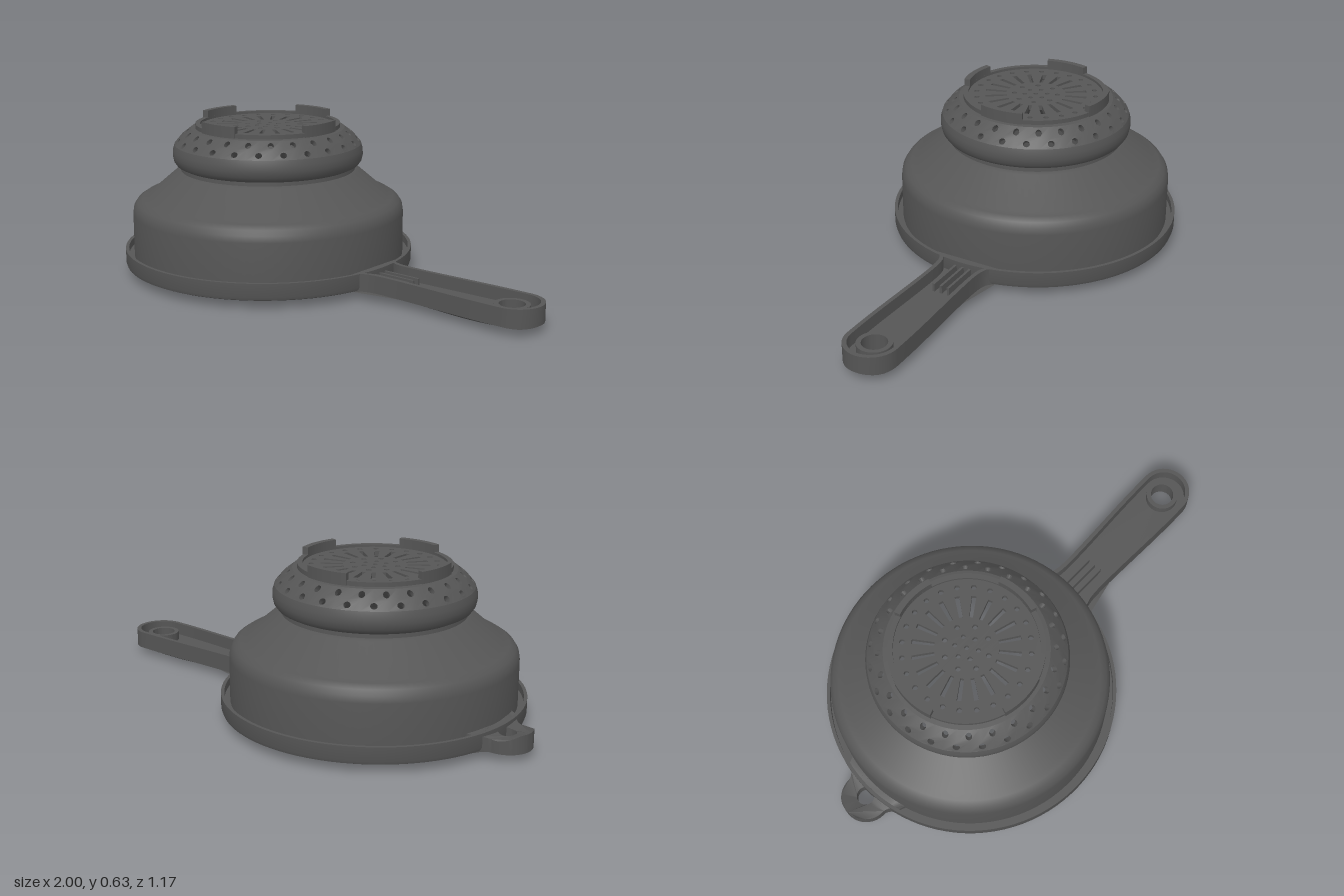
import * as THREE from 'three';
import { mergeGeometries, toCreasedNormals } from 'three/addons/utils/BufferGeometryUtils.js';

const CX = -0.3; // axis of the bowl
const TAU = Math.PI * 2;

export function createModel() {
  const group = new THREE.Group();
  const plastic = new THREE.MeshStandardMaterial({ color: 0x555555 });
  plastic.name = 'dark grey plastic';

  const add = (name, geometry, x = 0, y = 0) => {
    const mesh = new THREE.Mesh(toCreasedNormals(geometry, 0.6), plastic);
    mesh.name = name;
    mesh.position.set(x, y, 0);
    group.add(mesh);
    return mesh;
  };
  const lathe = (pts) =>
    new THREE.LatheGeometry([...pts, pts[0]].map(([r, y]) => new THREE.Vector2(r, y)), 96);
  const flatExtrude = (shape, depth) =>
    new THREE.ExtrudeGeometry(shape, { depth, bevelEnabled: false, curveSegments: 16 }).rotateX(-Math.PI / 2);

  // Bowl: grooved rim, wall, cone, neck and lower half of the bulge
  add('bowl', lathe([
    [0.535, 0.035], [0.57, 0.035], [0.581, 0.04], [0.585, 0.052], [0.585, 0.105], [0.572, 0.105],
    [0.572, 0.075], [0.55, 0.075], [0.55, 0.25], [0.546, 0.275], [0.533, 0.295], [0.51, 0.31],
    [0.485, 0.316], [0.37, 0.415], [0.353, 0.42], [0.352, 0.435], [0.37, 0.444], [0.38, 0.458],
    [0.385, 0.48], [0.384, 0.503], [0.377, 0.525],
    [0.36, 0.511], [0.363, 0.48], [0.355, 0.46], [0.335, 0.448], [0.33, 0.42], [0.345, 0.405],
    [0.46, 0.302], [0.5, 0.285], [0.519, 0.265], [0.525, 0.24], [0.525, 0.07],
  ]), CX);

  // Perforated shoulder: two staggered rows of cells, each with a round hole
  const N = 24, cells = [];
  const profile = [[0.377, 0.525], [0.35, 0.557], [0.31, 0.588]];
  for (let row = 0; row < 2; row++) {
    const [r0, y0] = profile[row], [r1, y1] = profile[row + 1];
    for (let i = 0; i < N; i++) {
      const cell = new THREE.Shape();
      cell.moveTo(0, 0);
      for (let k = 1; k <= 4; k++) cell.lineTo(k / 4, 0);
      for (let k = 4; k >= 0; k--) cell.lineTo(k / 4, 1);
      const hole = new THREE.Path();
      hole.absellipse(0.5, 0.5, 0.14, 0.3, 0, TAU, true);
      cell.holes.push(hole);
      const g = new THREE.ExtrudeGeometry(cell, { depth: 1, bevelEnabled: false, curveSegments: 6 });
      const p = g.attributes.position;
      for (let v = 0; v < p.count; v++) {
        const a = ((i + row / 2 + p.getX(v)) / N) * TAU;
        const t = p.getY(v), inset = 1 - p.getZ(v);
        const r = r0 + (r1 - r0) * t - 0.016 * inset;
        p.setXYZ(v, r * Math.sin(a), y0 + (y1 - y0) * t - 0.014 * inset, r * Math.cos(a));
      }
      cells.push(g);
    }
  }
  add('perforatedShoulder', mergeGeometries(cells), CX);

  // Ring around the strainer plate
  add('topRing', lathe([
    [0.31, 0.588], [0.292, 0.59], [0.292, 0.607], [0.272, 0.607], [0.272, 0.572], [0.296, 0.572],
  ]), CX);

  // Strainer plate with round holes and radial slots
  const plate = new THREE.Shape();
  plate.absarc(0, 0, 0.28, 0, TAU, false);
  const ringOfHoles = (count, radius, size, shift) => {
    for (let i = 0; i < count; i++) {
      const a = ((i + shift) / count) * TAU;
      const hole = new THREE.Path();
      hole.absarc(radius * Math.cos(a), radius * Math.sin(a), size, 0, TAU, true);
      plate.holes.push(hole);
    }
  };
  ringOfHoles(24, 0.24, 0.01, 0.5);
  ringOfHoles(8, 0.087, 0.01, 0.5);
  ringOfHoles(6, 0.045, 0.009, 0);
  ringOfHoles(1, 0, 0.009, 0);
  for (let i = 0; i < 20; i++) {
    const a = (i / 20) * TAU;
    plate.holes.push(new THREE.Path(
      [[0.12, -0.007], [0.12, 0.007], [0.205, 0.009], [0.205, -0.009]].map(([x, y]) =>
        new THREE.Vector2(x, y).rotateAround(new THREE.Vector2(), a))));
  }
  add('strainerPlate', flatExtrude(plate, 0.02), CX, 0.577);

  // Four upright tabs on the ring
  for (let i = 0; i < 4; i++) {
    const tab = new THREE.Shape();
    tab.absarc(0, 0, 0.296, -0.31, 0.31, false);
    tab.absarc(0, 0, 0.272, 0.31, -0.31, true);
    add('tab', flatExtrude(tab, 0.047), CX, 0.588).rotation.y = (i * Math.PI) / 2;
  }

  add('handle', handleGeometry());

  // Stiffening ribs at the handle root
  for (const z of [-0.032, 0, 0.032]) {
    add('handleRib', new THREE.BoxGeometry(0.17, 0.035, 0.01), 0.36, 0.07).position.z = z;
  }

  // Hanging lug opposite the handle, with a scooped top
  const lug = new THREE.Shape();
  lug.moveTo(-0.82, -0.15);
  lug.quadraticCurveTo(-0.865, 0, -0.82, 0.15);
  lug.lineTo(-0.86, 0.135);
  lug.quadraticCurveTo(-0.878, 0.095, -0.905, 0.095);
  lug.absarc(-0.905, 0, 0.095, Math.PI / 2, Math.PI * 1.5, false);
  lug.quadraticCurveTo(-0.878, -0.095, -0.86, -0.135);
  const lugHole = new THREE.Path();
  lugHole.absarc(-0.905, 0, 0.035, 0, TAU, true);
  lug.holes.push(lugHole);
  const lugGeometry = flatExtrude(lug, 0.07);
  const lp = lugGeometry.attributes.position;
  for (let v = 0; v < lp.count; v++) {
    const d = (lp.getX(v) + 0.92) / 0.07;
    if (lp.getY(v) > 0.05) lp.setY(v, lp.getY(v) - 0.022 * Math.max(0, 1 - d * d));
  }
  add('hangingLug', lugGeometry, 0, 0.035);

  return group;
}

// Handle: closed loft running belly, outer wall, lip, recessed floor, boss, hole
function handleGeometry() {
  const X0 = 0.255, X1 = 0.895, HX = 0.88;
  const half = (x) => 0.091 + 0.014 * THREE.MathUtils.smoothstep(x, 0.35, 0.85) + 0.04 * Math.exp((X0 - x) / 0.025);
  const outline = (inset) => {
    const pts = [], sides = 24, arc = 20;
    const along = (k) => X0 + inset + (X1 - X0 - inset) * (k / sides);
    for (let k = 0; k < sides; k++) pts.push([along(k), -(half(along(k)) - inset)]);
    for (let k = 0; k <= arc; k++) {
      const a = -Math.PI / 2 + (Math.PI * k) / arc, r = 0.105 - inset;
      pts.push([X1 + r * Math.cos(a), r * Math.sin(a)]);
    }
    for (let k = sides - 1; k >= 0; k--) pts.push([along(k), half(along(k)) - inset]);
    for (let k = 1; k < 4; k++) pts.push([X0 + inset, (half(X0 + inset) - inset) * (1 - k / 2)]);
    return pts;
  };
  const edge = outline(0);
  const circle = (r) => edge.map(([x, z]) => {
    const a = Math.atan2(z, x - HX);
    return [HX + r * Math.cos(a), r * Math.sin(a)];
  });
  const belly = (x, z) => {
    const t = THREE.MathUtils.clamp((x - 0.3) / 0.7, 0, 1);
    const across = Math.max(0, 1 - (z / half(x)) ** 2);
    return 0.035 - 0.032 * across * Math.max(0, Math.sin(Math.PI * t ** 1.4));
  };
  const level = (pts, y) => pts.map(([x, z]) => [x, y, z]);
  const hole = circle(0.048), boss = circle(0.066), inner = outline(0.017);

  const loops = [];
  for (let k = 0; k <= 12; k++) {
    loops.push(edge.map(([x, z], i) => {
      const px = hole[i][0] + (x - hole[i][0]) * (k / 12), pz = hole[i][1] + (z - hole[i][1]) * (k / 12);
      return [px, belly(px, pz), pz];
    }));
  }
  loops.push(level(edge, 0.105), level(inner, 0.105), level(inner, 0.055),
    level(boss, 0.055), level(boss, 0.09), level(hole, 0.09), loops[0]);

  const n = edge.length, index = [];
  for (let j = 0; j < loops.length - 1; j++) {
    for (let i = 0; i < n; i++) {
      const a = j * n + i, b = j * n + ((i + 1) % n), c = a + n, d = b + n;
      index.push(a, c, b, b, c, d);
    }
  }
  const g = new THREE.BufferGeometry();
  g.setAttribute('position', new THREE.Float32BufferAttribute(loops.flat(2), 3));
  g.setIndex(index);
  return g;
}
